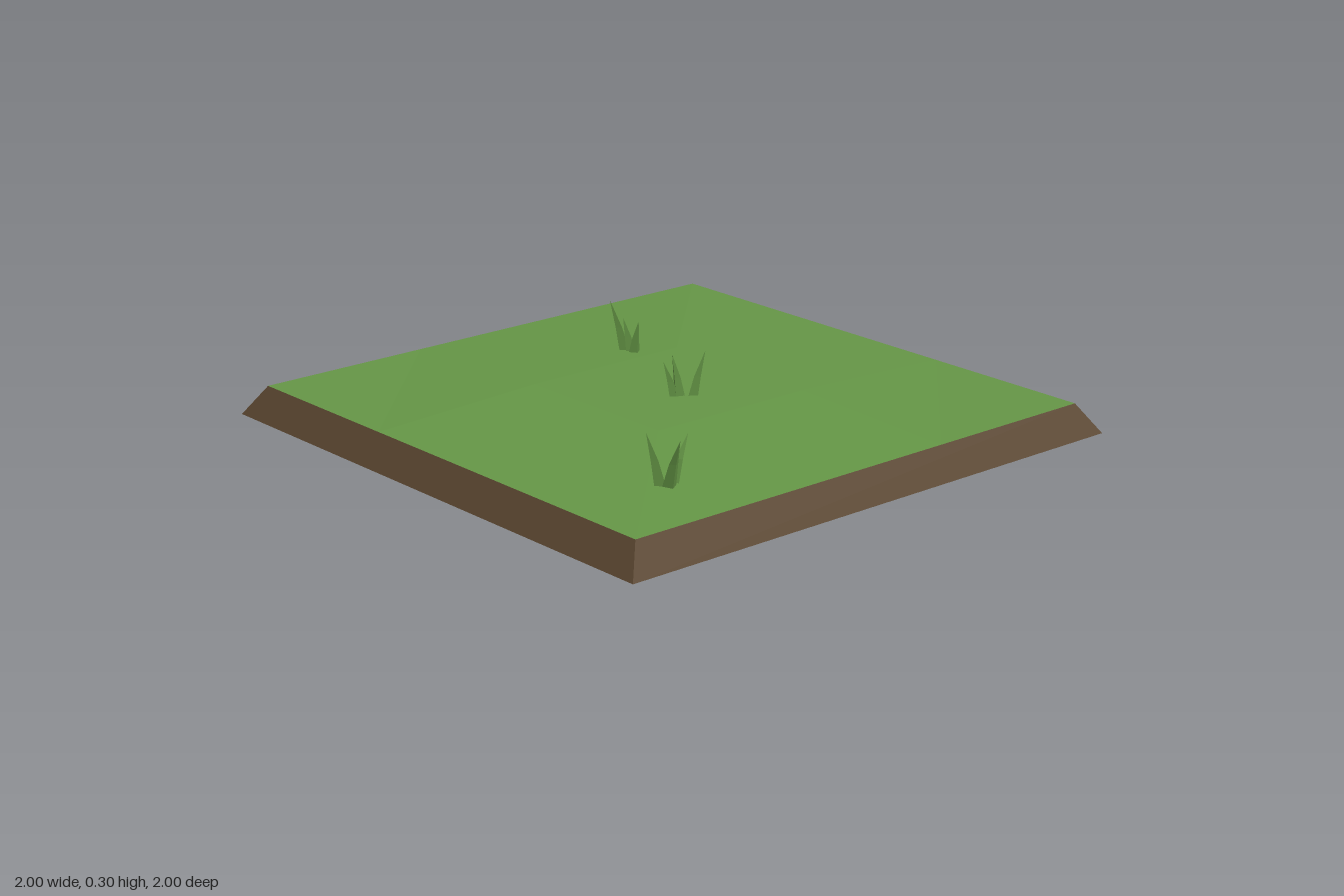
import * as THREE from 'three';

const grass = new THREE.MeshStandardMaterial({ color: 0x659646, flatShading: true, side: THREE.DoubleSide });
grass.name = 'grass green';
const soil = new THREE.MeshStandardMaterial({ color: 0x5a4630, flatShading: true, side: THREE.DoubleSide });
soil.name = 'soil brown';

const TOP = 0.935; // half width of the lawn
const RIM = 0.1; // height of the lawn edge

function add(parent, geometry, material, name) {
  const mesh = new THREE.Mesh(geometry, material);
  mesh.name = name;
  parent.add(mesh);
  return mesh;
}

// Slanted, open soil border
function makeBorder() {
  const g = new THREE.CylinderGeometry(TOP * Math.SQRT2, Math.SQRT2, RIM, 4, 1, true);
  return g.rotateY(Math.PI / 4).translate(0, RIM / 2, 0);
}

// Lawn sheet with a raised middle
function makeLawn() {
  const g = new THREE.PlaneGeometry(TOP * 2, TOP * 2, 3, 3).rotateX(-Math.PI / 2);
  const p = g.attributes.position;
  for (let i = 0; i < p.count; i++) {
    const inner = Math.max(Math.abs(p.getX(i)), Math.abs(p.getZ(i))) < TOP / 2;
    p.setY(i, RIM + (inner ? 0.025 : 0));
  }
  return g;
}

// Three-sided blade: wide foot, slightly bent middle, pointed tip
function makeBlade([bx, bz], [tx, ty, tz], radius) {
  const g = new THREE.CylinderGeometry(0.0005, radius, 1, 3, 2);
  const p = g.attributes.position;
  const foot = 0.107;
  const turn = Math.atan2(tx - bx, tz - bz);
  const c = Math.cos(turn), s = Math.sin(turn);
  for (let i = 0; i < p.count; i++) {
    const t = p.getY(i) + 0.5;
    const bend = Math.pow(t, 1.25);
    const swell = t > 0.4 && t < 0.6 ? 1.25 : 1;
    const x = p.getX(i) * swell, z = p.getZ(i) * swell * 0.7;
    p.setXYZ(i,
      bx + (tx - bx) * bend + x * c + z * s,
      foot + (ty - foot) * t,
      bz + (tz - bz) * bend - x * s + z * c);
  }
  return g;
}

// Each blade: foot [x, z], tip [x, y, z], foot radius
const tufts = {
  frontTuft: [
    [[-0.605, 0.66], [-0.65, 0.28, 0.65], 0.027],
    [[-0.59, 0.69], [-0.61, 0.273, 0.757], 0.027],
    [[-0.55, 0.665], [-0.49, 0.245, 0.655], 0.025],
  ],
  middleTuft: [
    [[-0.04, 0.075], [-0.09, 0.248, 0.083], 0.024],
    [[-0.025, 0.085], [-0.068, 0.273, 0.1], 0.024],
    [[0.012, 0.11], [0.025, 0.28, 0.155], 0.025],
  ],
  backTuft: [
    [[0.175, -0.425], [0.12, 0.3, -0.435], 0.026],
    [[0.18, -0.4], [0.15, 0.24, -0.402], 0.025],
    [[0.178, -0.375], [0.172, 0.235, -0.348], 0.025],
  ],
};

export function createModel() {
  const model = new THREE.Group();
  model.name = 'grassTile';
  add(model, makeBorder(), soil, 'soilBorder');
  add(model, makeLawn(), grass, 'lawn');
  for (const [name, blades] of Object.entries(tufts)) {
    const tuft = new THREE.Group();
    tuft.name = name;
    blades.forEach((b, i) => add(tuft, makeBlade(...b), grass, `blade${i + 1}`));
    model.add(tuft);
  }
  return model;
}
